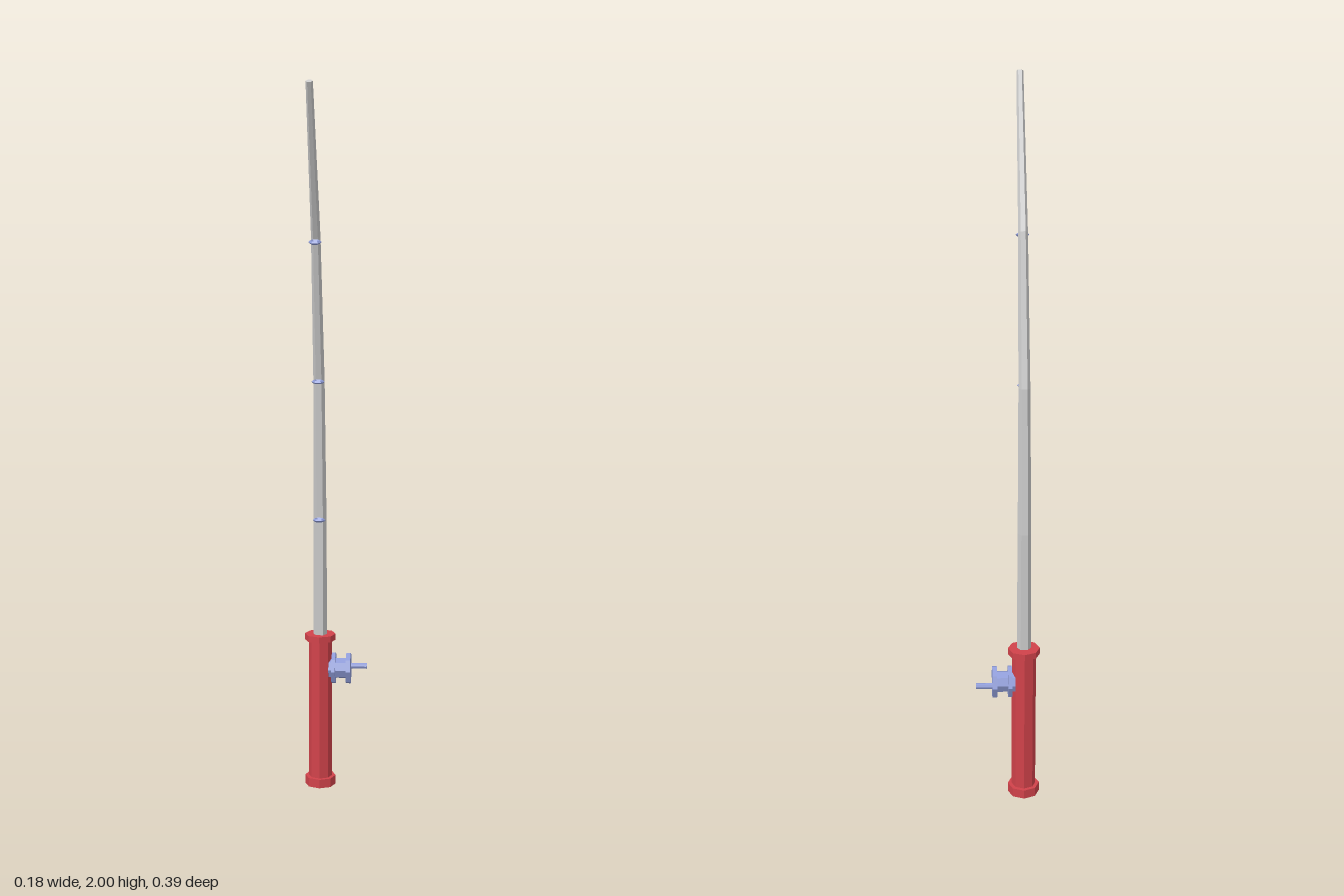
import * as THREE from 'three';

const material = (color) => new THREE.MeshStandardMaterial({ color, flatShading: true });
const red = material(0xd0424a);
const blue = material(0x8f9cd8);
const grey = material(0xcccccc);

const AXIS_X = -0.045;
const AXIS_Z = -0.15;

// Rod sections from butt to tip: height, z, radius, forward tilt
const sections = [
  { y: 0.42, z: -0.147, r: 0.02, tilt: 0 },
  { y: 0.8, z: -0.147, r: 0.0185, tilt: 0.045 },
  { y: 1.2, z: -0.113, r: 0.016, tilt: 0.17 },
  { y: 1.6, z: -0.011, r: 0.013, tilt: 0.35 },
  { y: 1.996, z: 0.185, r: 0.0095, tilt: 0.46 },
];

function part(name, geometry, mat, x, y, z) {
  const mesh = new THREE.Mesh(geometry, mat);
  mesh.name = name;
  mesh.position.set(x, y, z);
  return mesh;
}

// Upright octagonal cylinder between two heights
function upright(name, r, y0, y1) {
  return part(name, new THREE.CylinderGeometry(r, r, y1 - y0, 8), red, AXIS_X, (y0 + y1) / 2, AXIS_Z);
}

// Sideways octagonal cylinder between two x positions
function sideways(name, r, x0, x1, y, z) {
  const geometry = new THREE.CylinderGeometry(r, r, x1 - x0, 8).rotateZ(-Math.PI / 2);
  return part(name, geometry, blue, (x0 + x1) / 2, y, z);
}

// Hexagonal tapering rod: each row of a unit cylinder is moved to its section
function bentRod() {
  const rows = sections.length - 1;
  const geometry = new THREE.CylinderGeometry(1, 1, 1, 6, rows, false, Math.PI / 2);
  const pos = geometry.attributes.position;
  for (let i = 0; i < pos.count; i++) {
    const s = sections[Math.round((pos.getY(i) + 0.5) * rows)];
    const dz = pos.getZ(i) * s.r;
    pos.setXYZ(i, pos.getX(i) * s.r, s.y - dz * Math.sin(s.tilt), s.z + dz * Math.cos(s.tilt));
  }
  geometry.computeVertexNormals();
  return part('rod', geometry, grey, AXIS_X, 0, 0);
}

export function createModel() {
  const group = new THREE.Group();
  group.name = 'fishingRod';

  // Handle with a collar at each end
  group.add(
    upright('grip', 0.034, 0.01, 0.45),
    upright('lowerCollar', 0.045, 0, 0.026),
    upright('upperCollar', 0.045, 0.438, 0.456),
    bentRod()
  );

  // Line guides on the front of the rod
  const guides = [[0.8, -0.112, 0], [1.2, -0.081, 0.085], [1.588, 0.013, 0.25]];
  for (const [y, z, tilt] of guides) {
    const ring = new THREE.TorusGeometry(0.0135, 0.0045, 4, 6).rotateX(Math.PI / 2);
    const guide = part('lineGuide', ring, blue, AXIS_X, y, z);
    guide.rotation.x = tilt;
    group.add(guide);
  }

  // Reel on the side of the handle
  const reel = new THREE.Group();
  reel.name = 'reel';
  reel.add(
    sideways('innerFlange', 0.046, -0.011, 0, 0.353, -0.151),
    sideways('spool', 0.03, -0.02, 0.035, 0.353, -0.151),
    sideways('outerFlange', 0.046, 0.031, 0.044, 0.353, -0.151),
    sideways('crankKnob', 0.0085, 0.04, 0.09, 0.353, -0.176)
  );
  group.add(reel);

  return group;
}
